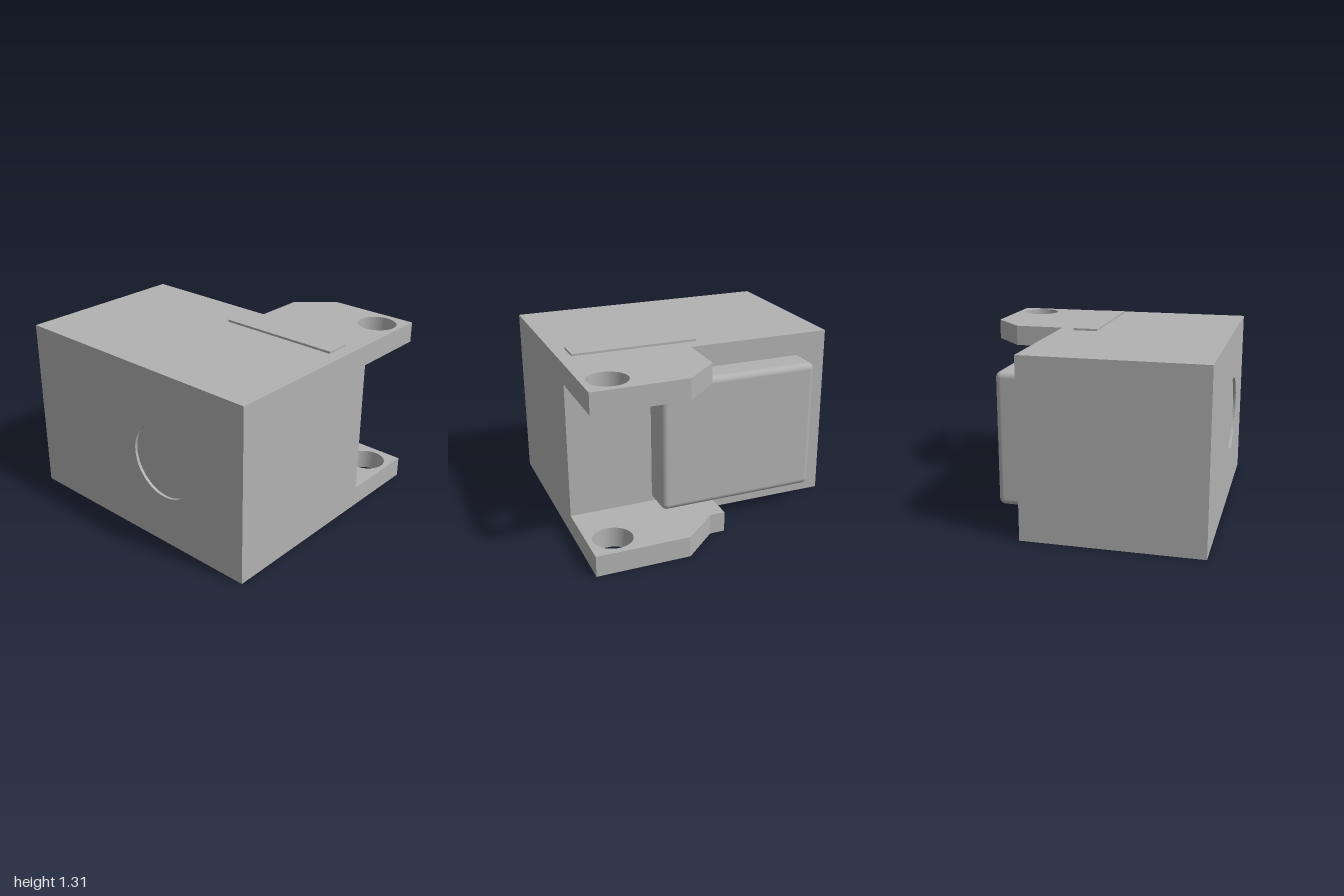
import * as THREE from 'three';
import { mergeGeometries, mergeVertices } from 'three/addons/utils/BufferGeometryUtils.js';
import { RoundedBoxGeometry } from 'three/addons/geometries/RoundedBoxGeometry.js';

// Main dimensions
const H = 1.29, FRONT = 0.94, BACK = -0.345, REAR = -0.94;
const LOW = 0.15, HIGH = 1.14; // inner faces of the two mounting ears
const RECESS = 0.02;

// Planes: each maps 2D points into space
const atY = (y) => (u, v) => new THREE.Vector3(u, y, v);
const atX = (x) => (u, v) => new THREE.Vector3(x, v, u);
const atZ = (z) => (u, v) => new THREE.Vector3(u, v, z);

function ring(cx, cy, r, n = 64) {
  return Array.from({ length: n }, (_, i) => {
    const a = (i / n) * Math.PI * 2;
    return [cx + r * Math.cos(a), cy + r * Math.sin(a)];
  });
}

function fromPoints(points) {
  const geo = new THREE.BufferGeometry().setFromPoints(points);
  geo.computeVertexNormals();
  return geo;
}

// Flat face with optional hole, turned towards the given normal
function panel(outline, plane, normal, hole) {
  const to2 = (list) => list.map(([u, v]) => new THREE.Vector2(u, v));
  const holes = hole ? [to2(hole)] : [];
  const corners = [...outline, ...(hole || [])].map(([u, v]) => plane(u, v));
  const points = [];
  for (const [a, b, c] of THREE.ShapeUtils.triangulateShape(to2(outline), holes)) {
    const [p, q, r] = [corners[a], corners[b], corners[c]];
    const n = q.clone().sub(p).cross(r.clone().sub(p));
    points.push(...(n.dot(normal) > 0 ? [p, q, r] : [p, r, q]));
  }
  return fromPoints(points);
}

// Wall swept along a path between two parallel planes
function wall(path, from, to, smooth = false) {
  const points = [];
  const list = smooth ? [...path, path[0]] : path;
  for (let i = 0; i < list.length - 1; i++) {
    const a = from(...list[i]), b = from(...list[i + 1]);
    const c = to(...list[i + 1]), d = to(...list[i]);
    points.push(a, b, c, a, c, d);
  }
  const geo = fromPoints(points);
  if (!smooth) return geo;
  geo.deleteAttribute('normal');
  const welded = mergeVertices(geo, 1e-4);
  welded.computeVertexNormals();
  return welded.toNonIndexed();
}

function housingGeometry() {
  const up = new THREE.Vector3(0, 1, 0), down = new THREE.Vector3(0, -1, 0);
  const left = new THREE.Vector3(1, 0, 0), right = new THREE.Vector3(-1, 0, 0);
  const front = new THREE.Vector3(0, 0, 1), back = new THREE.Vector3(0, 0, -1);

  const boltHole = ring(0.82, -0.75, 0.14);
  const dial = ring(0.295, 0.645, 0.275);
  const topRim = [[0.08, BACK], [0.08, -0.71], [0.33, REAR], [1, REAR]];
  const lowRim = [[-0.03, BACK], [-0.03, -0.71], ...topRim.slice(1)];
  const parts = [];

  // Mounting ears with their bolt holes; outer faces continue over the body
  const ears = [
    { rim: topRim, y0: HIGH, y1: H, outer: H, inner: HIGH, out: up, into: down },
    { rim: lowRim, y0: 0, y1: LOW, outer: 0, inner: LOW, out: down, into: up },
  ];
  for (const e of ears) {
    const full = [[-1, FRONT], [-1, BACK], ...e.rim, [1, FRONT]];
    parts.push(
      panel(full, atY(e.outer), e.out, boltHole),
      panel([...e.rim, [1, BACK]], atY(e.inner), e.into, boltHole),
      wall(e.rim, atY(e.y1), atY(e.y0)),
      wall(boltHole, atY(e.y0), atY(e.y1), true),
    );
  }

  // Sides and back
  parts.push(
    panel([[FRONT, 0], [REAR, 0], [REAR, LOW], [BACK, LOW], [BACK, HIGH],
      [REAR, HIGH], [REAR, H], [FRONT, H]], atX(1), left),
    panel([[FRONT, 0], [BACK, 0], [BACK, H], [FRONT, H]], atX(-1), right),
    panel([[-1, 0], [-0.03, 0], [-0.03, LOW], [1, LOW], [1, HIGH],
      [0.08, HIGH], [0.08, H], [-1, H]], atZ(BACK), back),
  );

  // Front with shallow round recess
  parts.push(
    panel([[-1, 0], [1, 0], [1, H], [-1, H]], atZ(FRONT), front, dial),
    wall(dial, atZ(FRONT), atZ(FRONT - RECESS), true),
    panel(dial, atZ(FRONT - RECESS), front),
  );
  return mergeGeometries(parts);
}

export function createModel() {
  const group = new THREE.Group();
  const grey = new THREE.MeshStandardMaterial({ color: 0xb2b2b2 });
  grey.name = 'grey';

  const add = (name, geometry, x = 0, y = 0, z = 0) => {
    const mesh = new THREE.Mesh(geometry, grey);
    mesh.name = name;
    mesh.position.set(x, y, z);
    group.add(mesh);
  };

  add('housing', housingGeometry());

  // Rounded cover, its inner end sunk into the housing
  const x0 = -0.8, x1 = 0.385, z0 = -0.565, z1 = -0.25;
  add('rearCover', new RoundedBoxGeometry(x1 - x0, 0.96, z1 - z0, 5, 0.045),
    (x0 + x1) / 2, 0.645, (z0 + z1) / 2);

  // Raised plate on top
  add('topPlate', new THREE.BoxGeometry(0.915, 0.016, 0.18), 0.4475, H + 0.008, -0.14);

  return group;
}
